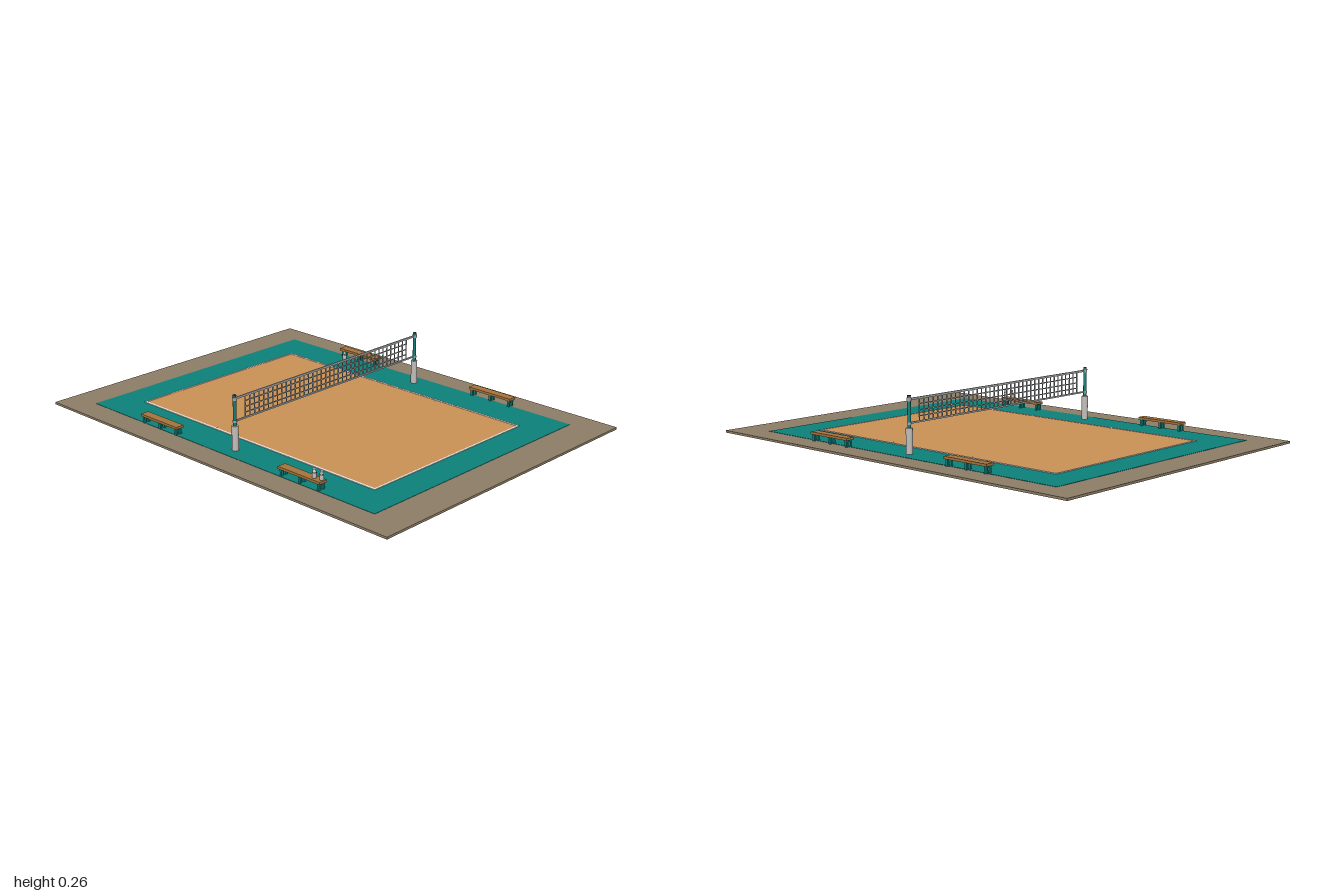
import * as THREE from 'three';

const mat = (name, color, extra = {}) => {
  const m = new THREE.MeshStandardMaterial({ color, ...extra });
  m.name = name;
  return m;
};

export function createModel() {
  const M = {
    ground: mat('ground brown', 0x8c7d66),
    teal: mat('teal', 0x0d807a),
    sand: mat('sand', 0xc99155),
    wood: mat('wood', 0xa5733c),
    white: mat('line white', 0xe6e4e0),
    pad: mat('pad grey', 0xc2beba),
    net: mat('net grey', 0xa2a5a6),
    dark: mat('dark cap', 0x3a4446),
  };
  const root = new THREE.Group();
  root.name = 'sandCourt';

  const add = (parent, name, geo, material, x, y, z) => {
    const mesh = new THREE.Mesh(geo, material);
    mesh.name = name;
    mesh.position.set(x, y, z);
    parent.add(mesh);
    return mesh;
  };
  const box = (p, name, m, w, h, d, x, y, z) => add(p, name, new THREE.BoxGeometry(w, h, d), m, x, y, z);
  const cyl = (p, name, m, r0, r1, h, x, y, z, n = 16) =>
    add(p, name, new THREE.CylinderGeometry(r0, r1, h, n), m, x, y, z);
  const group = (name, x = 0, y = 0, z = 0) => {
    const g = new THREE.Group();
    g.name = name;
    g.position.set(x, y, z);
    root.add(g);
    return g;
  };

  // Ground slab and the stepped court surfaces
  box(root, 'groundSlab', M.ground, 1.49, 0.01, 2, 0, 0.005, 0);
  box(root, 'courtBorder', M.teal, 1.26, 0.003, 1.688, 0, 0.0098, -0.008);
  box(root, 'sandField', M.sand, 0.926, 0.003, 1.39, -0.003, 0.011, -0.008);

  // Boundary lines with small attack-line ticks
  const lines = group('boundaryLines', -0.003, 0.0125, -0.008);
  for (const s of [-1, 1]) {
    box(lines, 'sideLine', M.white, 0.011, 0.003, 1.395, s * 0.461, 0, 0);
    box(lines, 'endLine', M.white, 0.932, 0.003, 0.009, 0, 0, s * 0.694);
    for (const t of [-1, 1]) {
      box(lines, 'lineTick', M.white, 0.012, 0.003, 0.005, s * 0.452, 0, t * 0.235);
    }
  }

  // Posts with padded bases, collars and caps
  for (const s of [-1, 1]) {
    const post = group(s > 0 ? 'leftPost' : 'rightPost', s * 0.566, 0, 0);
    cyl(post, 'postPad', M.pad, 0.0145, 0.0145, 0.11, 0, 0.065, 0);
    cyl(post, 'postPole', M.teal, 0.0075, 0.0075, 0.138, 0, 0.183, 0);
    cyl(post, 'postCap', M.dark, 0.008, 0.008, 0.005, 0, 0.253, 0);
    cyl(post, 'topCollar', M.net, 0.0105, 0.0105, 0.014, 0, 0.239, 0);
    cyl(post, 'lowerCollar', M.net, 0.0095, 0.0095, 0.01, 0, 0.139, 0);
  }

  // Net: two full-width ropes and a grid of cords
  const net = group('net');
  box(net, 'topTape', M.net, 1.132, 0.009, 0.006, 0, 0.239, 0);
  box(net, 'bottomTape', M.net, 1.132, 0.007, 0.006, 0, 0.14, 0);
  for (const y of [0.163, 0.188, 0.214]) {
    box(net, 'netRow', M.net, 1.018, 0.0045, 0.0035, 0, y, 0);
  }
  const cells = 38;
  for (let i = 0; i <= cells; i++) {
    box(net, 'netColumn', M.net, 0.0045, 0.1, 0.0035, -0.507 + (1.014 * i) / cells, 0.189, 0);
  }

  // Benches: plank seat on three pairs of legs
  const benches = [[-0.617, -0.408], [-0.609, 0.431], [0.624, -0.392], [0.632, 0.407]];
  for (const [x, z] of benches) {
    const bench = group('bench', x, 0, z);
    box(bench, 'benchSeat', M.wood, 0.041, 0.011, 0.232, 0, 0.0455, 0);
    for (const lz of [-0.104, 0, 0.104]) {
      for (const lx of [-0.011, 0.011]) {
        box(bench, 'benchLeg', M.teal, 0.009, 0.032, 0.011, lx, 0.025, lz);
      }
      box(bench, 'benchBrace', M.teal, 0.03, 0.005, 0.011, 0, 0.038, lz);
    }
  }

  // Water bottles, two on a bench and one on the floor
  const profile = [[0, 0], [0.009, 0], [0.0095, 0.003], [0.0095, 0.025], [0.006, 0.03], [0.006, 0.032], [0, 0.032]]
    .map(([r, y]) => new THREE.Vector2(r, y));
  for (const [x, y, z] of [[-0.61, 0.051, 0.5], [-0.605, 0.051, 0.535], [0.585, 0.011, -0.46]]) {
    const bottle = group('bottle', x, y, z);
    add(bottle, 'bottleBody', new THREE.LatheGeometry(profile, 14), M.pad, 0, 0, 0);
    cyl(bottle, 'bottleBand', M.dark, 0.0099, 0.0099, 0.003, 0, 0.024, 0, 14);
    cyl(bottle, 'bottleCap', M.white, 0.007, 0.007, 0.006, 0, 0.035, 0, 14);
  }
  return root;
}
